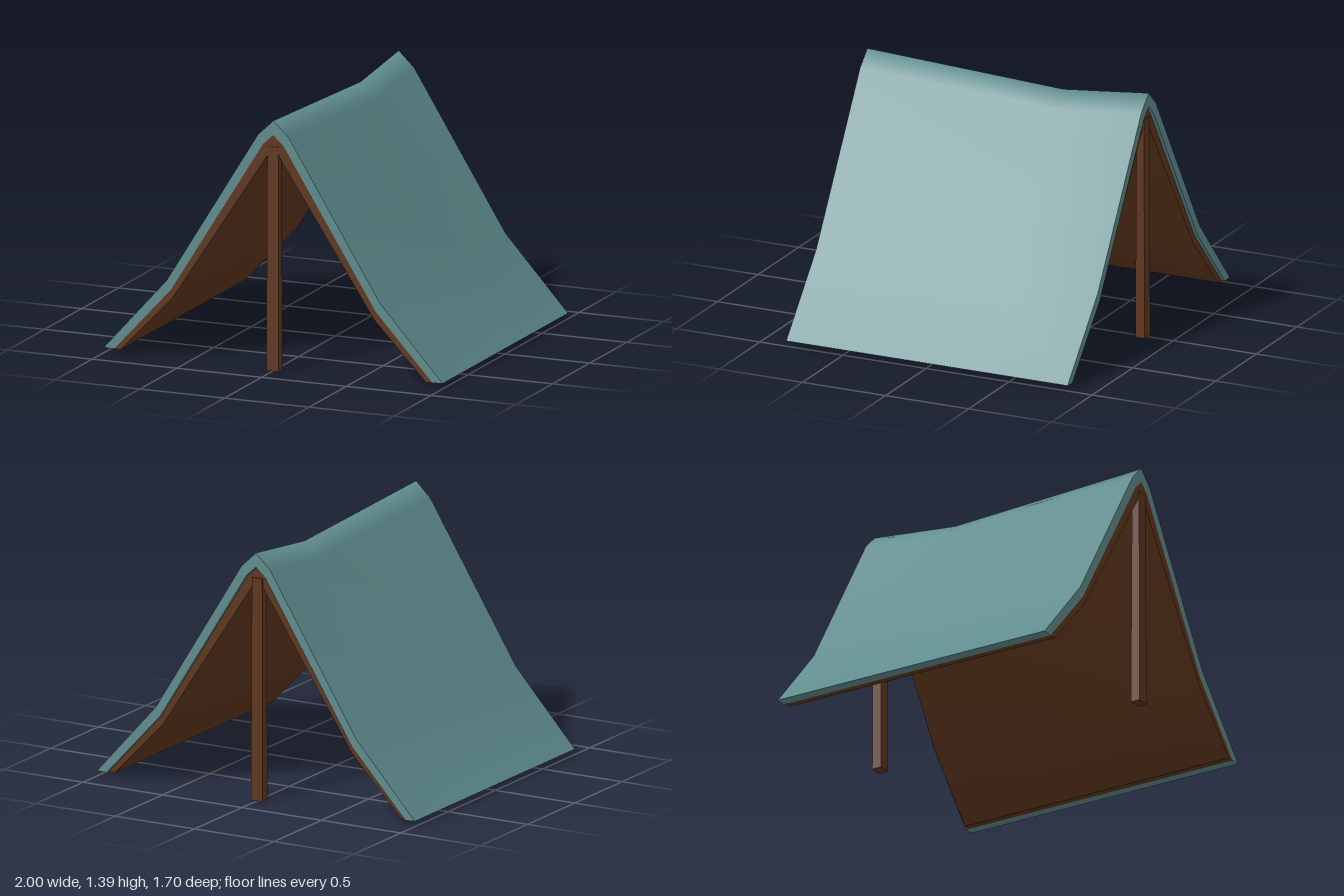
import * as THREE from 'three';
import { mergeGeometries } from 'three/addons/utils/BufferGeometryUtils.js';

// Smooth surface through rows of points; it faces along (row direction) x (row-to-row direction)
function skin(rows) {
  const n = rows[0].length, index = [];
  for (let j = 0; j < rows.length - 1; j++) {
    for (let i = 0; i < n - 1; i++) {
      const a = j * n + i, b = a + 1, c = a + n, d = c + 1;
      index.push(a, b, d, a, d, c);
    }
  }
  const g = new THREE.BufferGeometry();
  g.setAttribute('position', new THREE.Float32BufferAttribute(rows.flat(2), 3));
  g.setIndex(index);
  g.computeVertexNormals();
  return g;
}

// Mirror a half profile, listed from the hem up to the ridge
const mirror = (half) => [...half, ...half.slice(0, -1).reverse().map(([x, y]) => [-x, y])];

// Thick folded sheet: two faces, two gable ends and two hems, with hard edges between them
function foldedSheet(outerHalf, innerHalf, stations) {
  const sections = (half) => stations.map(([z, sag]) =>
    mirror(half).map(([x, y]) => [x, y - sag * Math.min(1, Math.max(0, (y - 0.03) / 0.8)), z]));
  const outer = sections(outerHalf), inner = sections(innerHalf);
  const end = stations.length - 1, last = outer[0].length - 1;
  const backToFront = stations.map((_, k) => end - k);
  return mergeGeometries([
    skin(outer),
    skin([...inner].reverse()),
    skin([inner[0], outer[0]]),
    skin([outer[end], inner[end]]),
    skin(backToFront.map((k) => [outer[k][0], inner[k][0]])),
    skin(backToFront.map((k) => [inner[k][last], outer[k][last]])),
  ]);
}

export function createModel() {
  const model = new THREE.Group();
  const clothMaterial = new THREE.MeshStandardMaterial({ color: 0x5f8c8e });
  const brownMaterial = new THREE.MeshStandardMaterial({ color: 0x5f371e });
  const add = (name, geometry, material) => {
    const mesh = new THREE.Mesh(geometry, material);
    mesh.name = name;
    model.add(mesh);
    return mesh;
  };

  // Half profiles of the three layers' boundaries
  const top = [[-1, 0.03], [-0.63, 0.44], [-0.09, 1.31], [0, 1.395]];
  const middle = [[-0.94, 0.027], [-0.605, 0.39], [-0.06, 1.26], [0, 1.315]];
  const under = [[-0.9, 0.027], [-0.595, 0.345], [-0.04, 1.19], [0, 1.23]];

  // Cloth and lining, sagging behind the middle
  add('canvasCover', foldedSheet(top, middle, [[0.842, 0], [-0.34, 0.055], [-0.852, 0]]), clothMaterial);
  add('innerLining', foldedSheet(middle, under, [[0.842, 0], [-0.34, 0.055], [-0.832, 0]]), brownMaterial);

  // Square poles, slightly tapered, one under each end of the ridge
  for (const [name, z] of [['frontPole', 0.825], ['backPole', -0.817]]) {
    const pole = new THREE.BoxGeometry(0.072, 1.25, 0.056);
    const p = pole.attributes.position;
    for (let i = 0; i < p.count; i++) {
      if (p.getY(i) > 0) p.setXYZ(i, p.getX(i) * 0.9, p.getY(i), p.getZ(i) * 0.8);
    }
    pole.computeVertexNormals();
    add(name, pole, brownMaterial).position.set(0, 0.625, z);
  }
  return model;
}
